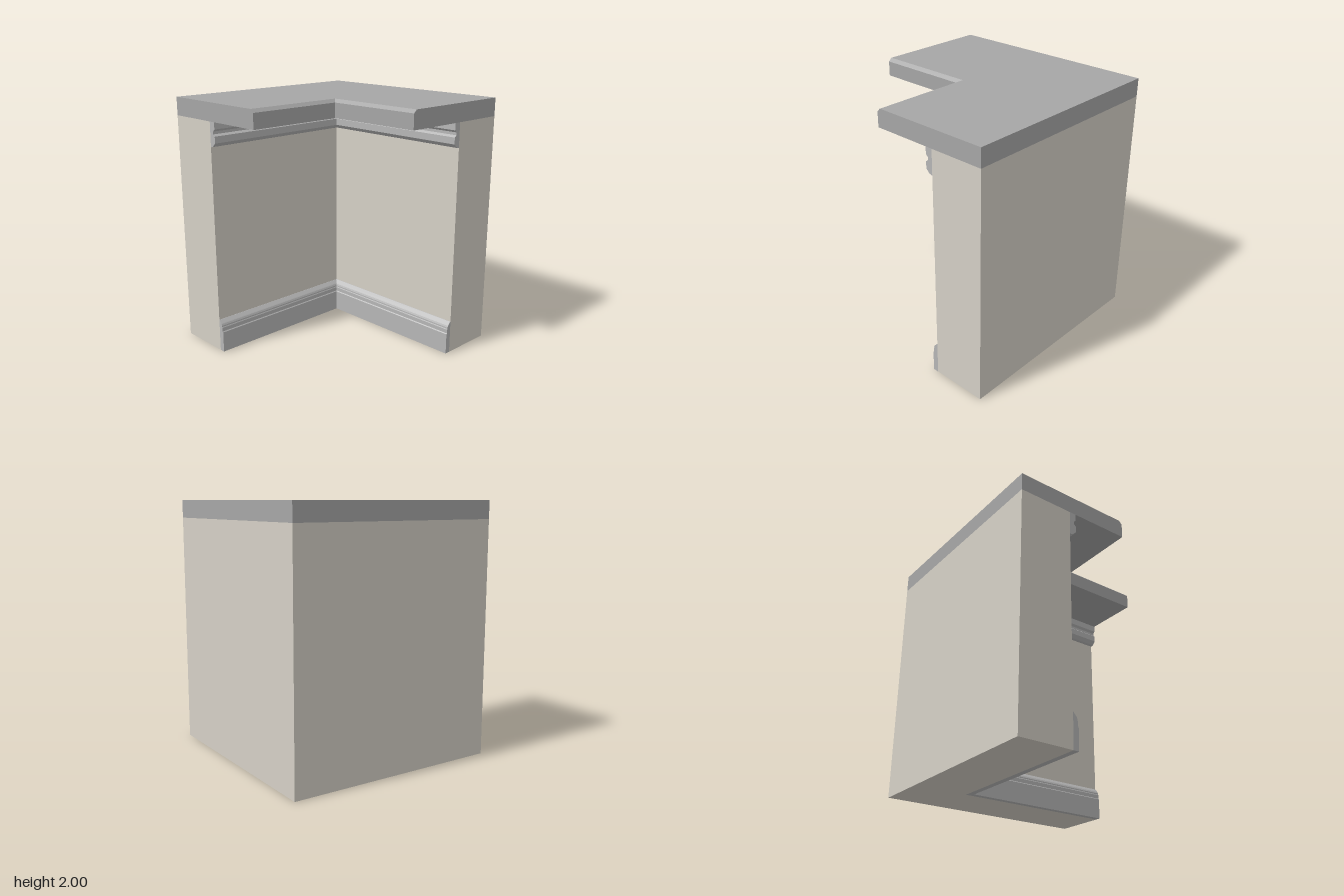
import * as THREE from 'three';

const HALF = 0.87;    // outer half width of the corner
const WALL = 0.435;   // inner wall face: x = WALL and z = -WALL

// L-shaped solid stacked from rows [c, y]; c places the mitred inner edge at
// (x = c, z = -c), back places the outer edge. Rows run from bottom to top.
function cornerSolid(name, color, back, rows) {
  const rings = rows.map(([c, y]) => [
    [-HALF, -c], [c, -c], [c, HALF], [back, HALF], [back, -back], [-HALF, -back],
  ].map(([x, z]) => [x, y, z]));
  const positions = [];
  const quad = (a, b, c, d) => positions.push(...a, ...b, ...c, ...a, ...c, ...d);

  // Sides
  for (let r = 0; r < rings.length - 1; r++) {
    const low = rings[r], high = rings[r + 1];
    for (let i = 0; i < 6; i++) {
      const j = (i + 1) % 6;
      quad(low[i], low[j], high[j], high[i]);
    }
  }
  // Bottom and top caps, one quad per arm
  const bottom = rings[0], top = rings[rings.length - 1];
  for (const arm of [[0, 1, 4, 5], [1, 2, 3, 4]]) {
    quad(...arm.map(i => top[i]));
    quad(...arm.map(i => bottom[i]).reverse());
  }

  const geometry = new THREE.BufferGeometry();
  geometry.setAttribute('position', new THREE.Float32BufferAttribute(positions, 3));
  geometry.computeVertexNormals();
  const mesh = new THREE.Mesh(geometry, new THREE.MeshStandardMaterial({ color }));
  mesh.name = name;
  return mesh;
}

export function createModel() {
  const group = new THREE.Group();
  group.name = 'cornerCounter';

  // Two wall arms meeting at the corner
  group.add(cornerSolid('wall', 0xd5d0c6, HALF, [[WALL, 0], [WALL, 1.857]]));

  // Overhanging top with a chamfered inner edge
  group.add(cornerSolid('counterTop', 0xa6a6a6, HALF,
    [[-0.09, 1.857], [-0.09, 1.975], [-0.063, 2]]));

  // Stepped skirting along the inner faces
  group.add(cornerSolid('baseboard', 0xb6b6b6, WALL, [
    [0.39, 0], [0.39, 0.167], [0.396, 0.174], [0.396, 0.205], [0.4, 0.212],
    [0.4, 0.222], [0.406, 0.235], [0.41, 0.24], [0.432, 0.264],
  ]));

  // Grooved moulding under the top
  group.add(cornerSolid('crownMoulding', 0xb6b6b6, WALL, [
    [0.425, 1.665], [0.41, 1.67], [0.38, 1.698], [0.38, 1.75], [0.388, 1.757],
    [0.398, 1.765], [0.398, 1.786], [0.38, 1.803], [0.38, 1.857],
  ]));

  return group;
}
